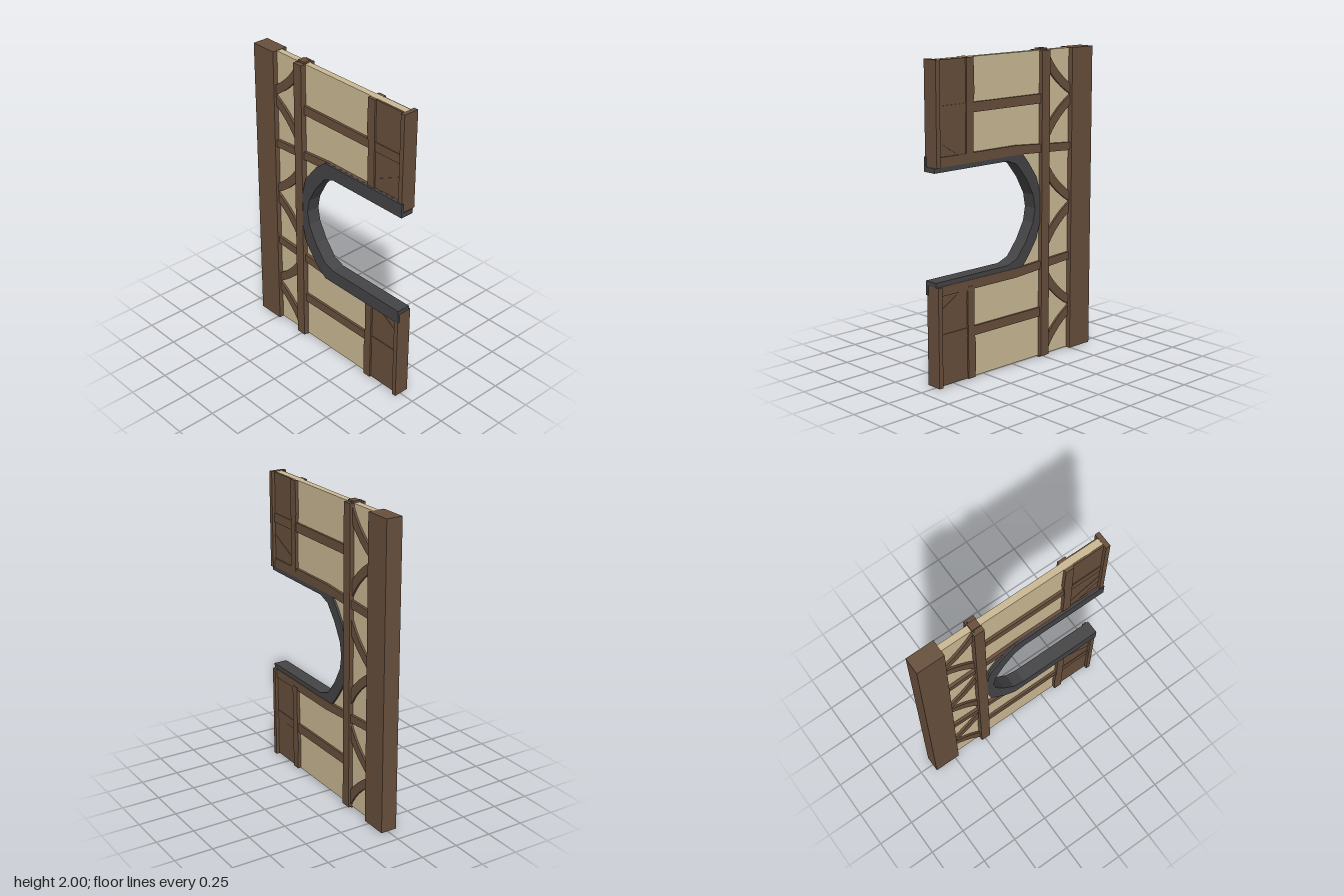
import * as THREE from 'three';

export function createModel() {
  const model = new THREE.Group();
  const mat = (name, color) => {
    const m = new THREE.MeshStandardMaterial({ color });
    m.name = name;
    return m;
  };
  const wood = mat('brown timber', 0x684f3c);
  const plaster = mat('cream plaster', 0xcbb994);
  const stone = mat('dark stone', 0x444446);

  // Extrude an outline of [z, y] points across the wall from x0 to x1
  const slab = (name, pts, x0, x1, material) => {
    const shape = new THREE.Shape(pts.map(([z, y]) => new THREE.Vector2(z, y)));
    const geo = new THREE.ExtrudeGeometry(shape, { depth: x1 - x0, bevelEnabled: false });
    geo.rotateY(-Math.PI / 2).translate(x1, 0, 0);
    const mesh = new THREE.Mesh(geo, material);
    mesh.name = name;
    model.add(mesh);
  };
  const rect = (z0, z1, y0, y1) => [[z0, y0], [z1, y0], [z1, y1], [z0, y1]];
  const flip = (pts) => pts.map(([z, y]) => [z, 2 - y]);
  // Complete a curve that ends at y = 1 with its mirror image
  const full = (half) => [...half, ...flip(half).reverse().slice(1)];

  // Opening: upper halves of the arch curves
  const inner = full([[0.655, 1.33], [0.07, 1.33], [-0.01, 1.3], [-0.09, 1.2], [-0.15, 1.09], [-0.167, 1]]);
  const outer = full([[0.655, 1.36], [-0.06, 1.36], [-0.11, 1.3], [-0.18, 1.2], [-0.21, 1.1], [-0.22, 1]]);
  const flange = full([[0.655, 1.42], [0, 1.42], [-0.08, 1.36], [-0.185, 1.23], [-0.215, 1.1], [-0.225, 1]]);
  const back = [...inner].reverse();
  slab('archLining', [...outer, ...back], -0.05, 0.035, stone);
  slab('archSurround', [...flange, ...back], -0.056, -0.04, stone);

  // Plaster infill around the opening
  const cut = outer.map(([z, y]) => [Math.min(z, 0.63), y]);
  slab('plasterWall', [[0.63, 1.988], ...cut, [0.63, 0.012], [-0.5, 0.012], [-0.5, 1.988]], -0.02, 0.022, plaster);

  // Full-height posts
  slab('mainPost', rect(-0.655, -0.473, 0.01, 1.99), -0.052, 0.055, wood);
  slab('middleStud', rect(-0.28, -0.212, 0.012, 1.988), -0.057, 0.05, wood);
  slab('studTenon', rect(-0.275, -0.217, 0, 2), -0.025, 0.025, wood);

  // Timbers above the opening, mirrored below it
  for (const [side, m] of [['upper', (p) => p], ['lower', flip]]) {
    slab(side + 'FrontPost', m(rect(0.62, 0.65, 1.36, 1.99)), -0.052, 0.052, wood);
    slab(side + 'FrontStud', m([[0.41, 1.4], [0.355, 1.4], [0.355, 1.7], [0.345, 1.78], [0.35, 1.988], [0.405, 1.988]]), -0.043, 0.042, wood);
    slab(side + 'WoodPanel', m(rect(0.4, 0.63, 1.37, 1.986)), -0.031, 0.031, wood);
    slab(side + 'Rail', m(rect(-0.25, 0.63, 1.66, 1.72)), -0.036, 0.036, wood);
    slab(side + 'Lintel', m([[0.63, 1.42], [0, 1.42], [-0.49, 1.385], [-0.49, 1.335], [-0.03, 1.36], [0.63, 1.36]]), -0.039, 0.039, wood);
    // Shallow diagonal braces on the front panel
    slab(side + 'PanelBrace', m([[0.62, 1.51], [0.62, 1.58], [0.41, 1.48], [0.41, 1.42], [0.47, 1.42]]), -0.034, 0.034, wood);
  }

  // Curved braces meeting in a V at the main post
  const curve = (a, c, b) => new THREE.QuadraticBezierCurve(
    new THREE.Vector2(...a), new THREE.Vector2(...c), new THREE.Vector2(...b)
  ).getPoints(6).map((p) => [p.x, p.y]);
  const brace = [
    ...curve([-0.265, 0.305], [-0.33, 0.165], [-0.48, 0.065]),
    ...curve([-0.48, 0], [-0.35, 0.075], [-0.265, 0.19]),
  ];
  for (const y of [0.305, 1, 1.695]) {
    for (const s of [1, -1]) {
      slab('curvedBrace', brace.map(([z, dy]) => [z, y + s * dy]), -0.035, 0.035, wood);
    }
  }
  return model;
}
